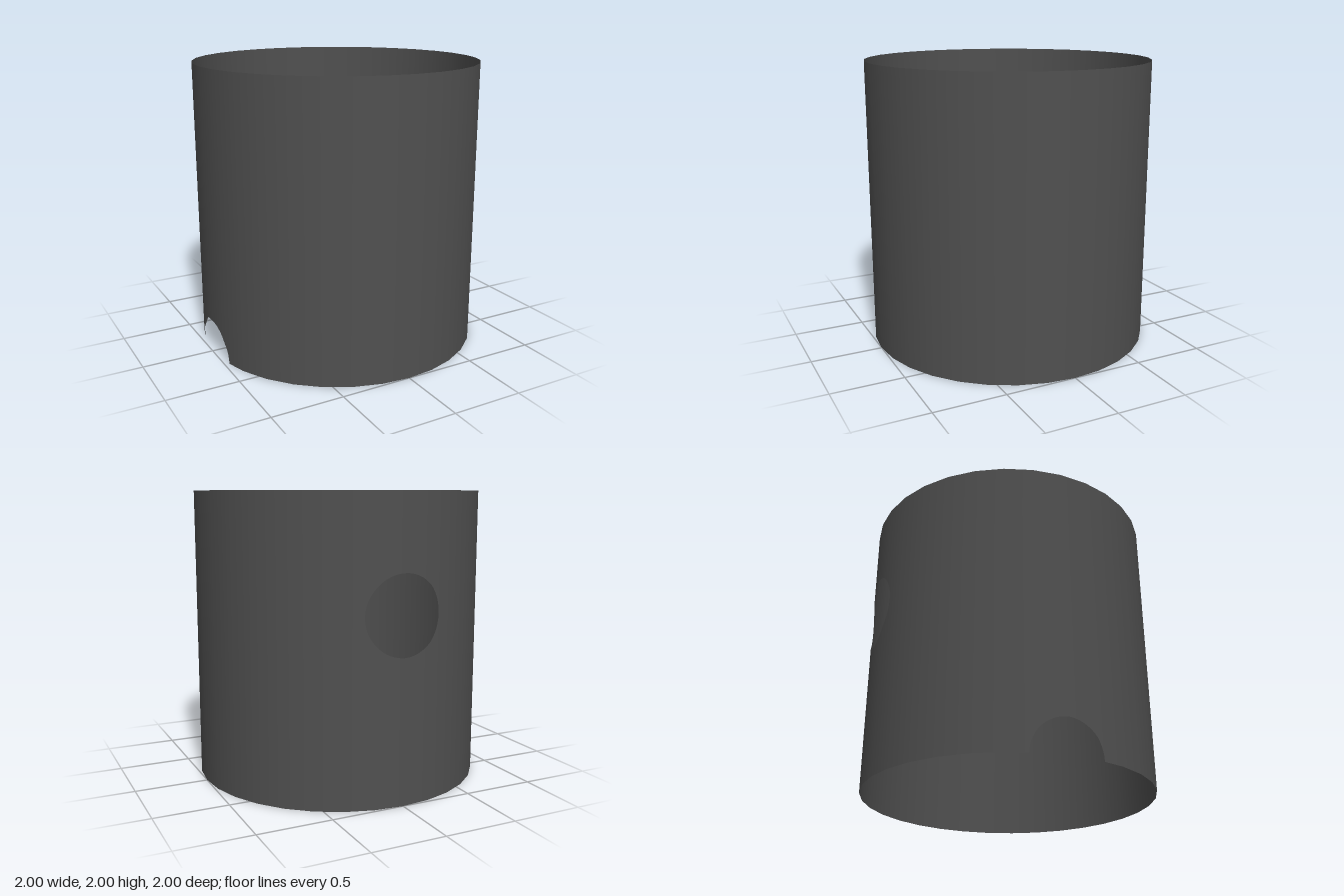
import * as THREE from 'three';

const HEIGHT = 2, SIDES = 32, STEP = Math.PI * 2 / SIDES;

// Round cuts through the wall: angle around the tube (0 = front, towards +x), centre height, radius
const CUTS = [
  { angle: Math.PI, y: 1.235, r: 0.265 },      // round hole at the back
  { angle: Math.PI * 1.5, y: 0, r: 0.24 },     // half-round notch at the lower edge
];

// Half the height of a cut at a given angle
const halfHeight = (cut, a) =>
  Math.sqrt(Math.max(0, cut.r ** 2 - Math.sin(a - cut.angle) ** 2));

// Column angles: even sides, plus finer steps across each cut
function columnAngles() {
  const angles = [];
  for (let i = 0; i <= SIDES; i++) angles.push(i * STEP);
  for (const cut of CUTS) {
    for (let k = 0; k <= 24; k++) {
      const t = -Math.PI / 2 + Math.PI * k / 24;
      angles.push(cut.angle + Math.asin(cut.r * Math.sin(t)));
    }
  }
  angles.sort((a, b) => a - b);
  return angles.filter((a, i) => i === 0 || a - angles[i - 1] > 1e-5);
}

function wallGeometry() {
  const position = [], normal = [];
  const vertex = (a, y) => {
    // keep in-between columns on the flat sides of the polygon
    const off = a - (Math.floor(a / STEP + 1e-6) + 0.5) * STEP;
    const radius = Math.cos(STEP / 2) / Math.cos(off);
    position.push(Math.sin(a) * radius, y, Math.cos(a) * radius);
    normal.push(Math.sin(a), 0, Math.cos(a));
  };
  const panel = (a0, a1, low, high) => {
    for (const [a, f] of [[a0, low], [a1, low], [a1, high], [a0, low], [a1, high], [a0, high]]) {
      vertex(a, f(a));
    }
  };
  const bottom = () => 0, top = () => HEIGHT;
  const angles = columnAngles();
  for (let i = 0; i < angles.length - 1; i++) {
    const a0 = angles[i], a1 = angles[i + 1], mid = (a0 + a1) / 2;
    const cut = CUTS.find(c => Math.abs(mid - c.angle) < Math.asin(c.r));
    if (!cut) {
      panel(a0, a1, bottom, top);
      continue;
    }
    if (cut.y > cut.r) panel(a0, a1, bottom, a => cut.y - halfHeight(cut, a));
    panel(a0, a1, a => cut.y + halfHeight(cut, a), top);
  }
  const geometry = new THREE.BufferGeometry();
  geometry.setAttribute('position', new THREE.Float32BufferAttribute(position, 3));
  geometry.setAttribute('normal', new THREE.Float32BufferAttribute(normal, 3));
  return geometry;
}

export function createModel() {
  const group = new THREE.Group();
  group.name = 'openTube';
  const darkGrey = new THREE.MeshStandardMaterial({ color: 0x505050, side: THREE.DoubleSide });
  darkGrey.name = 'darkGrey';

  // Thin tube wall, open at both ends
  const wall = new THREE.Mesh(wallGeometry(), darkGrey);
  wall.name = 'tubeWall';
  group.add(wall);
  return group;
}
